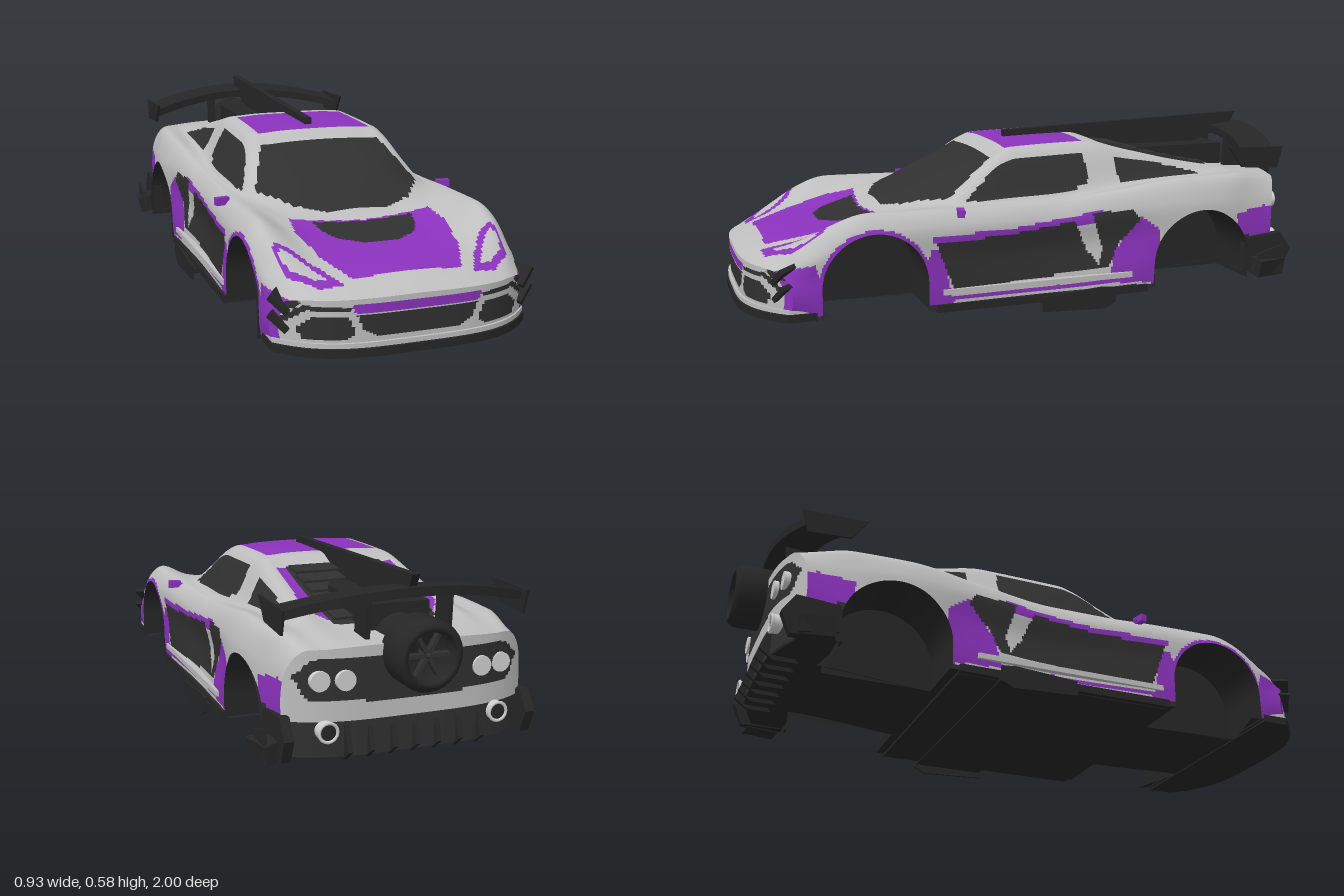
import * as THREE from 'three';

const mat = (name, color, side = THREE.FrontSide) => {
  const m = new THREE.MeshStandardMaterial({ color, side });
  m.name = name;
  return m;
};
const silver = mat('silver paint', 0xbebebe), purple = mat('purple paint', 0x8a32bc);
const carbon = mat('dark carbon', 0x303030), black = mat('black trim', 0x262626, THREE.DoubleSide);
const lamp = mat('lamp silver', 0xd0d0d0);
const PAINTS = [silver, purple, carbon];
const S = 0, P = 1, D = 2;

// Lengthwise body lines: station, half width, height
const sill = [.985, .39, .06, .8, .4, .055, .4, .4, .045, 0, .395, .04, -.35, .4, .045, -.7, .4, .07, -.9, .37, .075];
const lower = [.985, .402, .115, .6, .408, .11, .4, .405, .105, 0, .39, .105, -.35, .405, .12, -.6, .412, .13, -.9, .38, .15];
const middle = [.985, .396, .165, .6, .412, .22, .35, .4, .21, 0, .376, .21, -.25, .39, .22, -.5, .415, .235, -.9, .385, .25];
const upper = [.985, .37, .2, .9, .395, .24, .6, .406, .315, .35, .4, .31, 0, .385, .3, -.25, .395, .32, -.5, .41, .335, -.9, .37, .335];
const fender = [.985, .32, .211, .9, .35, .262, .75, .36, .33, .6, .36, .365, .4, .365, .36, .2, .358, .355,
  0, .355, .355, -.25, .362, .38, -.5, .368, .41, -.7, .36, .41, -.9, .33, .383];
const cabinBase = [.985, .26, .213, .9, .25, .25, .75, .25, .292, .6, .27, .328, .45, .3, .355, .3, .32, .363,
  0, .325, .368, -.25, .31, .388, -.5, .3, .405, -.7, .29, .409, -.9, .27, .389];
const roofRail = [.985, .17, .215, .9, .17, .25, .75, .17, .285, .6, .18, .312, .5, .25, .342, .4, .28, .36, .33, .296, .37,
  .22, .267, .437, .13, .24, .5, .08, .235, .515, -.2, .23, .52, -.35, .235, .49, -.5, .24, .455, -.7, .24, .42, -.9, .22, .392];
const roofMid = [.985, .09, .216, .9, .09, .253, .75, .1, .284, .6, .1, .31, .53, .12, .327, .46, .15, .36, .3, .18, .435,
  .15, .17, .498, .1, .165, .525, -.2, .16, .534, -.3, .17, .502, -.5, .17, .45, -.7, .17, .412, -.9, .15, .395];
const spine = [.985, 0, .217, .9, 0, .255, .75, 0, .284, .6, 0, .31, .54, 0, .324, .49, 0, .355, .3, 0, .443,
  .15, 0, .504, .1, 0, .53, -.2, 0, .537, -.3, 0, .506, -.5, 0, .452, -.7, 0, .413, -.9, 0, .397];
const RAILS = [sill, lower, middle, upper, fender, cabinBase, roofRail, roofMid, spine];
const FRONT = .985, REAR = -.9, K = 10, N = 280;

// Smooth interpolation without overshoot; c = 1 for half width, 2 for height
function at(r, s, c) {
  const n = r.length / 3;
  let k = 0;
  while (k < n - 2 && s < r[3 * k + 3]) k++;
  const slope = i => (r[3 * i + 3 + c] - r[3 * i + c]) / (r[3 * i + 3] - r[3 * i]);
  const tan = i => {
    if (i === 0) return slope(0);
    if (i === n - 1) return slope(n - 2);
    const a = slope(i - 1), b = slope(i);
    return a * b <= 0 ? 0 : 2 * a * b / (a + b);
  };
  const h = r[3 * k + 3] - r[3 * k], t = (s - r[3 * k]) / h, t2 = t * t, t3 = t2 * t;
  return (2 * t3 - 3 * t2 + 1) * r[3 * k + c] + (t3 - 2 * t2 + t) * h * tan(k)
    + (3 * t2 - 2 * t3) * r[3 * k + 3 + c] + (t3 - t2) * h * tan(k + 1);
}
// Rounds nose and tail in plan
const bow = (s, x) => s + Math.abs(x) ** 3.7 *
  (2.5 * THREE.MathUtils.smoothstep(-s, .6, .9) - 3.86 * THREE.MathUtils.smoothstep(s, .6, FRONT));

const ARCHES = [{ z: .595, y: .14, r: .168 }, { z: -.545, y: .125, r: .18 }];
const archDist = (a, z, y) => y > a.y ? Math.hypot(z - a.z, y - a.y) : Math.abs(z - a.z);
const inArch = (z, y) => ARCHES.some(a => archDist(a, z, y) < a.r - .001);

function section(s) {
  const half = RAILS.map(r => new THREE.Vector3(at(r, s, 1), at(r, s, 2), 0));
  const left = half.slice(0, -1).reverse();
  const curve = new THREE.CatmullRomCurve3([...half.map(p => new THREE.Vector3(-p.x, p.y, 0)), ...left], false, 'centripetal');
  return Array.from({ length: 16 * K + 1 }, (_, j) => {
    const p = curve.getPoint(j / (16 * K));
    p.z = bow(s, p.x);
    return p;
  });
}

// Grid surface; pick(centre, column) gives a paint index, or -1 for a hole
function sheet(name, rows, pick, mats = PAINTS) {
  const w = rows[0].length, lists = mats.map(() => []), c = new THREE.Vector3();
  for (let i = 0; i < rows.length - 1; i++) for (let j = 0; j < w - 1; j++) {
    c.copy(rows[i][j]).add(rows[i][j + 1]).add(rows[i + 1][j]).add(rows[i + 1][j + 1]).multiplyScalar(.25);
    const m = pick(c, j), a = i * w + j;
    if (m >= 0) lists[m].push(a, a + w, a + 1, a + 1, a + w, a + w + 1);
  }
  const g = new THREE.BufferGeometry().setFromPoints(rows.flat());
  g.setIndex(lists.flat());
  let start = 0;
  lists.forEach((l, m) => { if (l.length) g.addGroup(start, l.length, m); start += l.length; });
  g.computeVertexNormals();
  const mesh = new THREE.Mesh(g, mats);
  mesh.name = name;
  return mesh;
}

function inside(poly, a, b) {
  let hit = false;
  for (let i = 0, j = poly.length - 2; i < poly.length; j = i, i += 2)
    if ((poly[i + 1] > b) !== (poly[j + 1] > b) &&
      a < (poly[j] - poly[i]) * (b - poly[i + 1]) / (poly[j + 1] - poly[i + 1]) + poly[i]) hit = !hit;
  return hit;
}
const colour = (list, a, b, base = S) => list.reduce((m, [paint, ...poly]) => inside(poly, a, b) ? paint : m, base);

// Painted areas on the flanks (z, y)
const flankPaint = [
  [P, .41, .285, .15, .287, -.1, .315, -.18, .325, -.18, .29, -.1, .28, .15, .265, .41, .26],
  [P, .45, .05, .34, .05, .385, .24, .415, .25, .43, .2],
  [P, .42, .07, -.37, .075, -.37, .09, .42, .085],
  [P, -.2, .09, -.38, .06, -.38, .25, -.31, .3, -.26, .23, -.22, .18],
  [P, .74, .05, 1, .05, 1, .19, .78, .225],
  [P, -.69, .19, -.95, .19, -.95, .25, -.8, .3, -.68, .28],
  [D, .4, .262, .15, .268, -.08, .295, -.12, .2, -.17, .13, .34, .098],
  [D, -.14, .315, -.28, .325, -.31, .285, -.23, .2, -.2, .13, -.16, .13, -.18, .2],
  [D, -.7, .05, -.95, .05, -.95, .19, -.71, .2],
  [D, 1, 0, 1, .062, -.7, .062, -.7, 0]];
const windowPaint = [
  [D, .275, .37, .15, .472, .11, .49, -.16, .495, -.17, .412, -.09, .378],
  [D, -.27, .482, -.28, .402, -.59, .411, -.42, .455]];
// Painted areas on top (|x|, z)
const topPaint = [
  [D, -.1, .152, .21, .157, .283, .33, .2, .46, .1, .505, -.1, .515],
  [P, -.1, .9, .17, .9, .22, .78, .245, .62, .235, .53, .16, .54, -.1, .57],
  [D, -.1, .575, .165, .55, .155, .61, .12, .67, .05, .71, -.1, .715],
  [P, .35, .73, .3, .755, .24, .84, .2, .92, .27, .915, .34, .855, .37, .79],
  [S, .34, .755, .31, .775, .265, .84, .24, .885, .275, .88, .33, .835, .35, .785],
  [P, -.1, .1, .2, .1, .2, -.18, -.1, -.18],
  [P, .16, -.29, .205, -.29, .215, -.6, .165, -.68],
  [D, -.1, -.28, .165, -.28, .165, -.7, -.1, -.72]];
// Painted areas on nose and tail (|x|, y)
const nosePaint = [
  [P, .36, .05, .43, .05, .43, .2, .37, .2, .385, .12],
  [P, -.1, .2, .2, .2, .19, .175, -.1, .175],
  [D, .2, .192, .33, .197, .39, .145, .372, .142, .318, .183, .2, .18],
  [D, .405, .21, .335, .21, .335, .198, .36, .178, .405, .185],
  [D, -.1, .17, .185, .17, .17, .13, .13, .105, -.1, .1],
  [D, .21, .166, .3, .166, .345, .13, .33, .1, .21, .1, .188, .115],
  [D, -.1, 0, .5, 0, .5, .08, -.1, .08]];
const tailPaint = [
  [D, -.1, .37, .31, .36, .36, .31, .32, .245, -.1, .22],
  [D, -.1, 0, .5, 0, .5, .185, .25, .175, -.1, .185]];

export function createModel() {
  const car = new THREE.Group();
  car.name = 'raceCar';
  const add = (name, geo, m, x = 0, y = 0, z = 0) => {
    const mesh = new THREE.Mesh(geo, m);
    mesh.name = name;
    mesh.position.set(x, y, z);
    car.add(mesh);
    return mesh;
  };
  const box = (name, m, w, h, d, x, y, z) => add(name, new THREE.BoxGeometry(w, h, d), m, x, y, z);
  const outline = pts => {
    const v = [];
    for (let i = 0; i < pts.length; i += 2) v.push(new THREE.Vector2(pts[i], pts[i + 1]));
    return new THREE.Shape(v);
  };
  // Upright plate from a (z, y) outline
  const plate = (name, m, x, t, pts) => add(name,
    new THREE.ExtrudeGeometry(outline(pts), { depth: t, bevelEnabled: false }).rotateY(-Math.PI / 2).translate(t / 2, 0, 0), m, x);
  // Level slab from an (x, z) outline, hanging down from y
  const slab = (name, m, y, t, pts) => add(name,
    new THREE.ExtrudeGeometry(outline(pts), { depth: t, bevelEnabled: false }).rotateX(Math.PI / 2), m, 0, y);

  // Body shell with wheel openings
  const stations = Array.from({ length: N + 1 }, (_, i) => REAR + (FRONT - REAR) * i / N);
  const rows = stations.map(section);
  const nose = rows[N].slice(0, 8 * K + 1), tail = rows[0].slice(0, 8 * K + 1);
  const cap = (half, s, dir) => half.map(p => Array.from({ length: 81 }, (_, j) => {
    const x = Math.abs(p.x) * (j / 40 - 1) * dir;
    return new THREE.Vector3(x, p.y, bow(s, x));
  }));
  car.add(sheet('nosePanel', cap(nose, FRONT, -1), c => colour(nosePaint, Math.abs(c.x), c.y)));
  car.add(sheet('tailPanel', cap(tail, REAR, 1), c => colour(tailPaint, Math.abs(c.x), c.y)));
  for (const p of rows.flat()) for (const a of ARCHES) {
    const d = archDist(a, p.z, p.y);
    if (Math.abs(p.x) < .36 || p.y > .34 || Math.abs(d - a.r) > .007) continue;
    p.z = a.z + (p.z - a.z) * a.r / d;
    if (p.y > a.y) p.y = a.y + (p.y - a.y) * a.r / d;
  }
  car.add(sheet('bodyShell', rows, (c, j) => {
    const u = 8 - Math.abs(j + .5 - 8 * K) / K, x = Math.abs(c.x);
    if (u < 4 && inArch(c.z, c.y)) return -1;
    let m = u >= 4 ? colour(topPaint, x, c.z) : S;
    if (u < 4.2) {
      if (archDist(ARCHES[0], c.z, c.y) < .18) m = P;
      m = colour(flankPaint, c.z, c.y, m);
    } else if (u > 4.9 && u < 6.3) m = colour(windowPaint, c.z, c.y, m);
    return m;
  }));

  // Floor and wheel wells
  const floor = stations.map(s => [1, .51, 0, -.51, -1].map(f => {
    const x = f * at(sill, s, 1);
    return new THREE.Vector3(x, at(sill, s, 2), bow(s, x));
  }));
  car.add(sheet('floor', floor, c => Math.abs(c.x) > .22 && inArch(c.z, .05) ? -1 : 0, [black]));
  for (const a of ARCHES) for (const side of [1, -1]) {
    const u = [[a.z + a.r, .05]];
    for (let i = 0; i <= 24; i++) u.push([a.z + a.r * Math.cos(i * Math.PI / 24), a.y + a.r * Math.sin(i * Math.PI / 24)]);
    u.push([a.z - a.r, .05]);
    const ring = x => u.map(([z, y]) => new THREE.Vector3(x * side, y, z));
    car.add(sheet('wheelWell', [ring(.41), ring(.2)], () => 0, [black]));
    car.add(sheet('wheelWellWall', [ring(.2), u.map(() => new THREE.Vector3(.2 * side, .05, a.z))], () => 0, [black]));
  }

  // Front splitter
  const edge = [];
  for (let i = -16; i <= 16; i++) edge.push(i * .025, 1 - 3.86 * Math.abs(i * .025) ** 3.7);
  const plan = [...edge, .4, .78, -.4, .78];
  slab('splitter', black, .075, .025, plan);
  slab('noseLip', silver, .09, .014, plan).scale.set(.994, 1, .994);

  // Underbody and side parts
  box('underTray', black, .78, .025, .74, 0, .048, .03);
  box('plank', black, .86, .016, .25, 0, .038, -.08);
  for (const s of [1, -1]) {
    box('sideSkirt', black, .03, .025, .74, s * .395, .05, .03);
    box('sillBlade', silver, .03, .018, .66, s * .396, .102, .05);
    plate('skirtFin', black, s * .428, .008, [.05, .01, .05, .06, -.16, .075, -.21, .07, -.21, .02, -.17, 0]);
    box('mirrorStalk', purple, .06, .01, .012, s * .365, .352, .305);
    box('mirror', purple, .045, .025, .022, s * .39, .353, .315).rotation.y = s * -.2;
    for (const [y, z] of [[.198, .872], [.145, .868]]) box('canard', black, .07, .016, .07, s * .372, y, z).rotation.set(.15, s * .6, s * .65);
    box('rearWinglet', black, .05, .06, .11, s * .422, .092, -.795).rotation.set(0, s * .2, s * -.2);
    plate('rearWingletEnd', black, s * .436, .01, [-.73, .08, -.75, .14, -.84, .165, -.85, .06]);
    plate('bumperCorner', black, s * .385, .03, [-.71, .07, -.72, .19, -.86, .2, -.9, .14, -.87, .07]);
    // Wing mounts
    plate('wingEndPlate', black, s * .385, .008, [-.65, .51, -.86, .505, -.84, .43, -.7, .44]);
    plate('wingMount', black, s * .13, .014, [-.77, .39, -.78, .53, -.86, .53, -.85, .38]);
    // Tail lamps and exhaust tips
    for (const x of [.215, .287]) add('tailLamp', new THREE.CylinderGeometry(.03, .03, .02, 20).rotateX(Math.PI / 2), lamp, s * x, .3, bow(REAR, x));
    add('exhaustTip', new THREE.CylinderGeometry(.03, .03, .06, 16, 1, true).rotateX(Math.PI / 2), lamp, s * .27, .155, -.875);
    add('exhaustCore', new THREE.CylinderGeometry(.025, .025, .056, 16).rotateX(Math.PI / 2), black, s * .27, .155, -.875);
    add('exhaustRim', new THREE.TorusGeometry(.028, .005, 6, 16), lamp, s * .27, .155, -.905);
  }
  for (let i = -3; i <= 3; i++) plate('diffuserFin', black, i * .07, .014, [-.8, .06, -.89, .18, -.925, .095, -.88, .06]);

  // Engine cover louvres
  for (let i = 0; i < 6; i++) {
    const z = -.32 - i * .065;
    box('louvre', carbon, .32, .008, .07, 0, at(spine, z, 2) + .006, z).rotation.x = -.12;
  }

  // Rear wing, bowed across its span
  const wing = new THREE.BoxGeometry(.77, .028, .12, 28, 1, 4), p = wing.attributes.position;
  for (let i = 0; i < p.count; i++) {
    const q = (p.getX(i) / .385) ** 2;
    p.setXYZ(i, p.getX(i), p.getY(i) + .53 - .055 * q - .1 * p.getZ(i), p.getZ(i) - .84 + .075 * q);
  }
  wing.computeVertexNormals();
  add('rearWing', wing, black);
  plate('centreFin', black, 0, .024, [.04, .53, .04, .555, -.89, .585, -.86, .53, -.65, .46, -.45, .46, -.2, .53]);

  // Turbine with housing
  slab('turbineHousing', black, .482, .09, [.1, -.78, .1, -.48, .07, -.42, .04, -.36, -.04, -.36, -.07, -.42, -.1, -.48, -.1, -.78]);
  const profile = [[0, -.95], [.065, -.95], [.075, -1], [.09, -1], [.105, -.98], [.105, -.885], [.09, -.86], [.075, -.84],
    [.09, -.72], [.1, -.7], [.1, -.52], [.06, -.42], [.03, -.32], [0, -.3]];
  add('turbine', new THREE.LatheGeometry(profile.map(v => new THREE.Vector2(...v)), 24).rotateX(Math.PI / 2), black, 0, .37, 0);
  add('turbineHub', new THREE.ConeGeometry(.022, .04, 12).rotateX(-Math.PI / 2), carbon, 0, .37, -.97);
  for (let i = 0; i < 3; i++) box('turbineBlades', carbon, .135, .012, .02, 0, .37, -.965).rotation.z = i * Math.PI / 3;
  return car;
}
